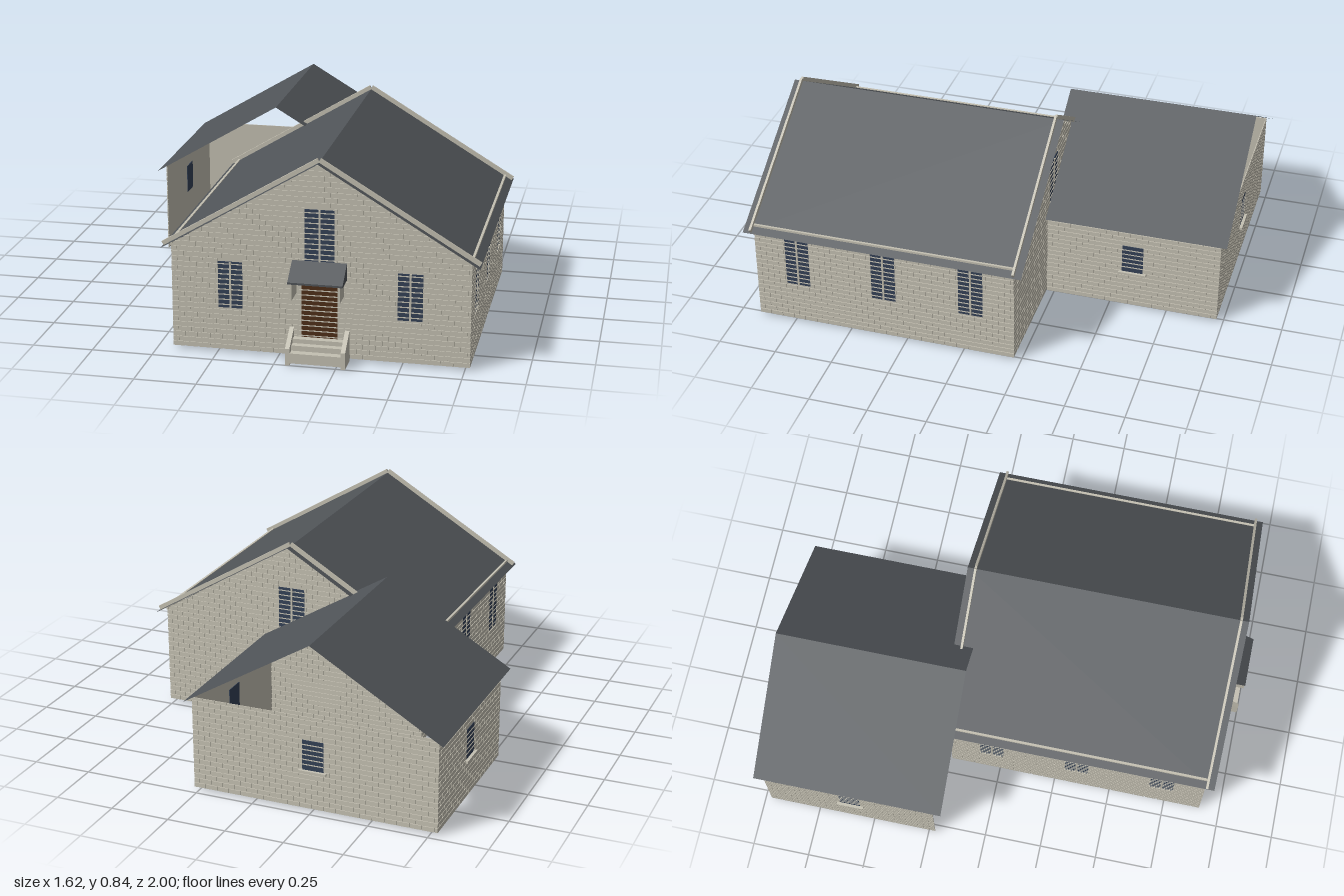
import * as THREE from 'three';
import { mergeGeometries } from 'three/addons/utils/BufferGeometryUtils.js';

const mat = (name, color, side = THREE.FrontSide) => {
  const m = new THREE.MeshStandardMaterial({ color, side });
  m.name = name;
  return m;
};

export function createModel() {
  const stone = mat('stone', 0xc4c0b2, THREE.DoubleSide);
  const slate = mat('slate', 0x505458, THREE.DoubleSide);
  const glass = mat('glass', 0x344156);
  const wood = mat('wood', 0x4e2e18);

  const BASE = 0.012, COURSE = 0.0215, BRICK = 0.052, JOINT = 0.003, RELIEF = 0.004;

  const add = (parent, name, geometry, material) => {
    const mesh = new THREE.Mesh(geometry, material);
    mesh.name = name;
    parent.add(mesh);
    return mesh;
  };
  // box given by its limits
  const block = (x0, x1, y0, y1, z0, z1) =>
    new THREE.BoxGeometry(x1 - x0, y1 - y0, z1 - z0)
      .translate((x0 + x1) / 2, (y0 + y1) / 2, (z0 + z1) / 2);
  const group = (parent, name, x = 0, y = 0, z = 0) => {
    const g = new THREE.Group();
    g.name = name;
    g.position.set(x, y, z);
    parent.add(g);
    return g;
  };

  // Opening, centred on u, from y0 to y1
  const opening = (u, w, y0, y1, kind = 'window') => ({ a: u - w / 2, b: u + w / 2, y0, y1, kind });

  // Courses of raised bricks in stretcher bond, cut around the openings and the gable
  function bricks(half, top, peak, openings) {
    const parts = [];
    for (let row = 0, y = BASE; y < (peak || top) - COURSE / 2; row++, y += COURSE) {
      const yTop = Math.min(y + COURSE - JOINT, peak || top);
      const edge = yTop > top ? half * (peak - yTop) / (peak - top) : half;
      for (let u = -half - (row % 2) * BRICK / 2; u < edge; u += BRICK) {
        let spans = [[Math.max(u, -edge), Math.min(u + BRICK - JOINT, edge)]];
        for (const o of openings) {
          if (yTop <= o.y0 || y >= o.y1) continue;
          spans = spans.flatMap(([a, b]) => [[a, Math.min(b, o.a)], [Math.max(a, o.b), b]]);
        }
        for (const [a, b] of spans)
          if (b - a > 0.002) parts.push(block(a, b, y, yTop, 0, RELIEF));
      }
    }
    return mergeGeometries(parts);
  }

  // Wall facing local +z
  function wall(parent, name, width, top, peak, openings, x, z, turn) {
    const g = group(parent, name, x, 0, z);
    g.rotation.y = turn;
    const half = width / 2 - RELIEF;
    const outline = [[-half, BASE], [half, BASE], [half, top]];
    if (peak) outline.push([0, peak]);
    outline.push([-half, top]);
    const shape = new THREE.Shape(outline.map(p => new THREE.Vector2(...p)));
    add(g, 'wallSheet', new THREE.ShapeGeometry(shape).translate(0, 0, -RELIEF), stone);
    add(g, 'bricks', bricks(half + RELIEF, top, peak, openings).translate(0, 0, -RELIEF), stone);
    for (const o of openings) {
      const door = o.kind === 'door';
      add(g, door ? 'door' : 'windowPane', block(o.a, o.b, o.y0, o.y1, -0.007, -0.001),
        door ? wood : glass);
      // light bars in front of the pane
      const bars = [];
      for (let y = BASE + COURSE; y < o.y1 - 0.004; y += COURSE)
        if (y > o.y0 + 0.004) bars.push(block(o.a, o.b, y - 0.004, y, -0.003, 0.001));
      const mid = (o.a + o.b) / 2;
      if (o.kind === 'window') bars.push(block(mid - 0.004, mid + 0.004, o.y0, o.y1, -0.003, 0.002));
      add(g, 'bars', mergeGeometries(bars), stone);
      if (o.kind === 'silled')
        add(g, 'sill', block(o.a - 0.013, o.b + 0.013, o.y0 - 0.01, o.y0, -RELIEF, 0.012), stone);
    }
  }

  // Two thin roof slopes meeting on a ridge along z
  function roof(parent, half, eave, ridge, z0, z1) {
    for (const s of [-1, 1]) {
      const g = new THREE.BufferGeometry();
      g.setAttribute('position', new THREE.Float32BufferAttribute([
        0, ridge, z0, 0, ridge, z1, s * half, eave, z1, s * half, eave, z0], 3));
      g.setIndex(s > 0 ? [0, 1, 2, 0, 2, 3] : [0, 2, 1, 0, 3, 2]);
      g.computeVertexNormals();
      add(parent, 'roofSlope', g, slate);
    }
  }

  const model = new THREE.Group();
  model.name = 'hallWithAnnex';
  const Q = Math.PI / 2;

  // Main hall
  const HW = 0.6025, HD = 0.565;
  const hall = group(model, 'hall', 0.1675, 0, 0.345);
  const upper = opening(0, 0.12, 0.41, 0.625);
  const sideWindows = [-0.379, 0, 0.379].map(u => opening(u, 0.105, 0.19, 0.432));
  wall(hall, 'frontWall', HW * 2, 0.45, 0.815, [upper,
    opening(-0.3625, 0.1, 0.19, 0.385), opening(0.3625, 0.1, 0.19, 0.385),
    opening(0, 0.145, 0.09, 0.315, 'door')], 0, HD, 0);
  wall(hall, 'backWall', HW * 2, 0.45, 0.815, [upper], 0, -HD, Math.PI);
  for (const s of [-1, 1])
    wall(hall, 'sideWall', HD * 2, 0.45, 0, sideWindows, s * HW, 0, s * Q);
  roof(hall, 0.6375, 0.436, 0.82, -0.605, 0.6);

  // Gable boards and eave trims standing just proud of the roof
  const slope = Math.atan2(0.384, 0.6375);
  for (const s of [-1, 1]) {
    for (const z of [-0.57, 0.567]) {
      const board = add(hall, 'gableBoard', new THREE.BoxGeometry(0.74, 0.022, 0.01), stone);
      board.position.set(s * 0.318, 0.636, z);
      board.rotation.z = -s * slope;
    }
    add(hall, 'eaveTrim', block(s * HW - 0.005, s * HW + 0.005, 0.44, 0.463, -HD, HD), stone);
  }

  // Rear annex, open towards the hall and under its gables
  const AW = 0.526, AD = 0.375;
  const annex = group(model, 'annex', -0.2555, 0, -0.597);
  const small = [opening(0, 0.092, 0.18, 0.308, 'silled')];
  wall(annex, 'backWall', AW * 2, 0.41, 0, small, 0, -AD, Math.PI);
  for (const s of [-1, 1])
    wall(annex, 'sideWall', AD * 2, 0.41, 0, small, s * AW, 0, s * Q);
  roof(annex, 0.5525, 0.396, 0.725, -0.403, 0.42);

  // Extrude a (z, y) profile along x
  const profile = (points, x0, x1) =>
    new THREE.ExtrudeGeometry(new THREE.Shape(points.map(([z, y]) => new THREE.Vector2(-z, y))),
      { depth: x1 - x0, bevelEnabled: false }).rotateY(Q).translate(x0, 0, 0);

  // Entrance steps between sloping cheeks
  const steps = group(model, 'entranceSteps', 0.1675, 0, 0.91);
  for (const s of [-1, 1])
    add(steps, 'cheek', profile([[0, 0], [0.09, 0], [0.09, 0.07], [0, 0.13]],
      s * 0.112 - 0.009, s * 0.112 + 0.009), stone);
  [[0.05, 0.085], [0.072, 0.055], [0.09, 0.028]].forEach(([h, d]) =>
    add(steps, 'step', block(-0.104, 0.104, 0.008, h, 0, d), stone));

  // Door canopy on side boards
  const canopy = group(model, 'canopy', 0.1675, 0, 0.91);
  add(canopy, 'canopyRoof', profile([[0, 0.342], [0.09, 0.342], [0.09, 0.35], [0, 0.412]],
    -0.11, 0.11), slate);
  for (const s of [-1, 1])
    add(canopy, 'canopyBoard', block(s * 0.096 - 0.003, s * 0.096 + 0.003, 0.275, 0.342, 0, 0.088), stone);

  return model;
}
